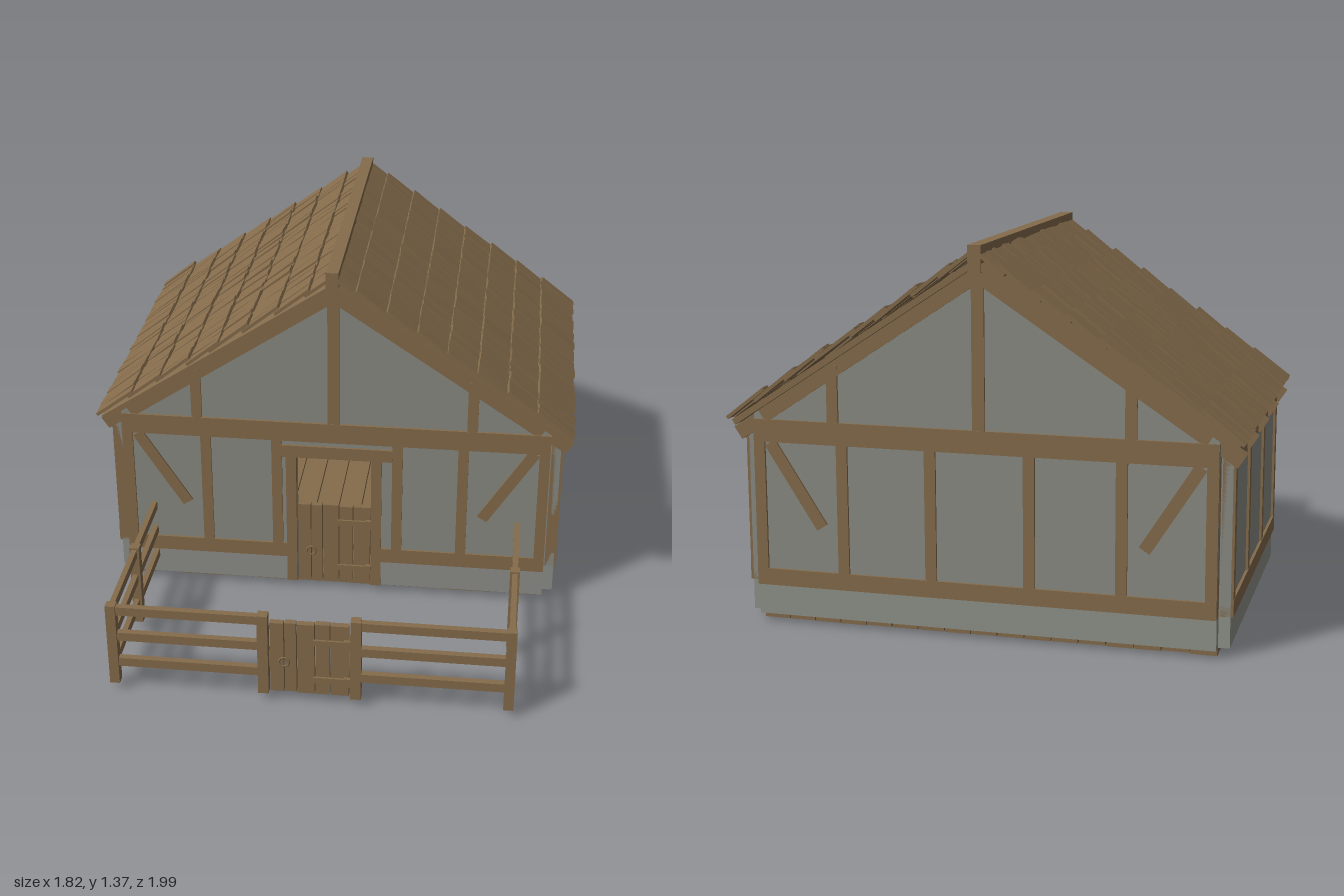
import * as THREE from 'three';
import { mergeGeometries } from 'three/addons/utils/BufferGeometryUtils.js';

const wood = new THREE.MeshStandardMaterial({ color: 0x856c4c });
wood.name = 'brown wood';
const plaster = new THREE.MeshStandardMaterial({ color: 0x8c8c84 });
plaster.name = 'grey plaster';
const stone = new THREE.MeshStandardMaterial({ color: 0x90928b });
stone.name = 'grey stone';

// Small seeded random generator
let seed = 7;
const rand = () => (seed = (seed * 16807) % 2147483647) / 2147483647;

// Box geometry and mesh given by their limits on each axis
function boxGeo(x0, x1, y0, y1, z0, z1) {
  return new THREE.BoxGeometry(x1 - x0, y1 - y0, z1 - z0)
    .translate((x0 + x1) / 2, (y0 + y1) / 2, (z0 + z1) / 2);
}
function add(parent, name, geo, mat) {
  const mesh = new THREE.Mesh(geo, mat);
  mesh.name = name;
  parent.add(mesh);
  return mesh;
}
const box = (parent, name, mat, ...limits) => add(parent, name, boxGeo(...limits), mat);

// Main dimensions: wall core, wall faces and roof slope
const X = 0.82, ZF = 0.2, ZB = -0.92, T = 0.04;
const PITCH = 0.584, RIDGE = 1.345, SLOPE = Math.tan(PITCH), LEN = 1.085;
const gableY = (x) => 1.3 - SLOPE * Math.abs(x);

function gableWall(hasDoor) {
  const s = new THREE.Shape();
  if (hasDoor) {
    s.moveTo(-X, 0.14).lineTo(-0.145, 0.14).lineTo(-0.145, 0.59).lineTo(0.145, 0.59)
      .lineTo(0.145, 0.14).lineTo(X, 0.14);
  } else s.moveTo(-X, 0.14).lineTo(X, 0.14);
  s.lineTo(X, gableY(X)).lineTo(0, gableY(0)).lineTo(-X, gableY(X)).closePath();
  return new THREE.ExtrudeGeometry(s, { depth: T, bevelEnabled: false });
}

// Timber frame of one gable end, built around z = 0 and facing +z
function gableFrame(hasDoor) {
  const g = new THREE.Group();
  const d0 = 0.005, d1 = 0.05;
  box(g, 'tieBeam', wood, -X, X, 0.66, 0.74, d0, d1);
  box(g, 'kingPost', wood, -0.022, 0.022, 0.74, 1.29, d0, d1 - 0.002);
  if (!hasDoor) box(g, 'sillBeam', wood, -X, X, 0.14, 0.2, d0, d1);
  for (const s of [-1, 1]) {
    const post = (name, x, w, y0, y1) =>
      box(g, name, wood, s * x - w / 2, s * x + w / 2, y0, y1, d0, d1 - 0.001);
    post('cornerPost', 0.8, 0.04, 0.2, 0.66);
    post('wallPost', 0.495, 0.04, 0.2, 0.66);
    post('gablePost', 0.525, 0.04, 0.74, gableY(0.525) - 0.01);
    if (hasDoor) {
      post('doorSidePost', s > 0 ? 0.245 : 0.22, 0.04, 0.2, 0.66);
      post('doorJamb', 0.165, 0.04, 0.03, 0.59);
      post('sillBeam', 0.5025, 0.635, 0.14, 0.2);
    } else post('middlePost', 0.175, 0.04, 0.2, 0.66);
    // Diagonal brace
    const brace = box(g, 'brace', wood, -0.022, 0.022, -0.175, 0.175, 0.01, d1 - 0.003);
    brace.position.set(s * 0.667, 0.51, 0);
    brace.rotation.z = -s * 0.565;
    // Timber under the verge
    const verge = box(g, 'vergeTimber', wood, 0.0, 0.985, -0.088, -0.036, d0, d1 - 0.004);
    verge.position.y = RIDGE;
    verge.rotation.z = s > 0 ? -PITCH : Math.PI + PITCH;
    if (s < 0) verge.geometry.scale(1, -1, -1).translate(0, 0, d0 + d1 - 0.004),
    verge.geometry = flipSafe(verge.geometry);
  }
  if (hasDoor) box(g, 'doorLintel', wood, -0.2, 0.225, 0.59, 0.64, d0, d1);
  return g;
}
// Two negative scales make a rotation, so only the normals need refreshing
function flipSafe(geo) {
  geo.computeVertexNormals();
  return geo;
}

// Plank door with ledges, ring handle and strap hinges, facing +z
function plankDoor(top) {
  const g = new THREE.Group();
  const edges = [-0.143, -0.09, -0.045, 0.02, 0.075, 0.143];
  for (let i = 0; i < 5; i++) {
    box(g, 'doorPlank', wood, edges[i] + 0.002, edges[i + 1] - 0.002,
      0.035 + rand() * 0.006, top - rand() * 0.006, -0.012, 0.012);
  }
  for (const y of [0.1, top - 0.075]) {
    box(g, 'doorLedge', wood, -0.135, 0.135, y - 0.02, y + 0.02, -0.028, -0.012);
    box(g, 'strapHinge', wood, 0.015, 0.143, y - 0.012, y + 0.012, 0.012, 0.02);
    box(g, 'hingePin', wood, 0.125, 0.147, y - 0.018, y + 0.018, 0.012, 0.026);
  }
  const ring = add(g, 'ringHandle', new THREE.TorusGeometry(0.018, 0.004, 6, 16), wood);
  ring.position.set(-0.09, 0.17, 0.017);
  return g;
}

// One roof slope running down towards +x
function roofSlope() {
  const g = new THREE.Group();
  box(g, 'roofDeck', wood, 0, LEN - 0.01, -0.0375, -0.016, -0.995, 0.275);
  for (const z of [0.205, -0.077, -0.36, -0.64, -0.92]) {
    box(g, 'rafter', wood, 0.03, LEN + 0.025, -0.09, -0.037, z - 0.02, z + 0.02);
  }
  // Overlapping rows of uneven shingles
  const parts = [], rows = 8, step = LEN / rows;
  for (let r = 0; r < rows; r++) {
    let z = -1;
    while (z < 0.279) {
      let w = 0.022 + rand() * 0.04;
      if (z + w > 0.255) w = 0.28 - z;
      const end = r === rows - 1 ? 0.002 + rand() * 0.008 : rand() * 0.035 - 0.01;
      const len = step + 0.035 + end - (r === 0 ? 0.035 : 0);
      const geo = boxGeo(-len, 0, -0.012, 0, z + 0.001, z + w - 0.001);
      geo.rotateZ(-0.055 - rand() * 0.04);
      geo.translate((r + 1) * step + end - 0.006, 0.0 + rand() * 0.006, 0);
      parts.push(geo);
      z += w;
    }
  }
  add(g, 'shingles', mergeGeometries(parts), wood);
  return g;
}

export function createModel() {
  const model = new THREE.Group();
  model.name = 'timberFramedBarn';

  // Floor boards
  const n = 17, bw = (2 * X) / n;
  for (let i = 0; i < n; i++) {
    box(model, 'floorBoard', wood, -X + i * bw + 0.002, -X + (i + 1) * bw - 0.002,
      rand() * 0.004, 0.03, ZB, ZF);
  }

  // Gable ends with stone footing
  const front = add(model, 'frontWall', gableWall(true), plaster);
  front.position.z = ZF;
  const back = add(model, 'backWall', gableWall(false), plaster);
  back.position.z = ZB - T;
  box(model, 'backFooting', stone, -X, X, 0.03, 0.14, ZB - T, ZB);
  const frontFrame = gableFrame(true);
  frontFrame.name = 'frontTimberFrame';
  frontFrame.position.z = ZF;
  const backFrame = gableFrame(false);
  backFrame.name = 'backTimberFrame';
  backFrame.position.z = ZB;
  backFrame.rotation.y = Math.PI;
  model.add(frontFrame, backFrame);

  for (const s of [-1, 1]) {
    const mirrored = (name, mat, x0, x1, ...rest) =>
      box(model, name, mat, Math.min(s * x0, s * x1), Math.max(s * x0, s * x1), ...rest);
    // Side walls and their timbers
    mirrored('frontFooting', stone, 0.145, X, 0.03, 0.14, ZF, ZF + T);
    mirrored('sideFooting', stone, X, X + T, 0.03, 0.14, ZB, ZF);
    mirrored('sideWall', plaster, X, X + T, 0.14, 0.725, ZB, ZF);
    mirrored('sideSill', wood, X + 0.005, 0.87, 0.14, 0.2, ZB, ZF);
    mirrored('wallPlate', wood, X + 0.005, 0.87, 0.66, 0.72, ZB, ZF);
    for (const z of [0.18, -0.175, -0.55, -0.9]) {
      mirrored('sidePost', wood, X + 0.005, 0.869, 0.2, 0.66, z - 0.02, z + 0.02);
    }
    // Paddock fence
    for (const z of [0.972, 0.585]) {
      mirrored('fencePost', wood, 0.692, 0.728, 0.03, 0.36, z - 0.018, z + 0.018);
    }
    mirrored('gatePost', wood, 0.147, 0.185, 0.03, 0.36, 0.953, 0.99);
    for (const y of [0.118, 0.228, 0.336]) {
      mirrored('sideRail', wood, 0.7, 0.72, y - 0.017, y + 0.017, ZF + T, 0.96);
      mirrored('frontRail', wood, 0.18, 0.7, y - 0.017, y + 0.017, 0.958, 0.982);
    }
  }

  // Half door and paddock gate
  const door = plankDoor(0.38);
  door.name = 'halfDoor';
  door.position.z = 0.225;
  const gate = plankDoor(0.335);
  gate.name = 'paddockGate';
  gate.position.z = 0.968;
  model.add(door, gate);

  // Roof: two slopes and a ridge beam
  for (const s of [1, -1]) {
    const pivot = new THREE.Group();
    pivot.name = s > 0 ? 'leftRoof' : 'rightRoof';
    const slope = roofSlope();
    slope.position.y = RIDGE;
    slope.rotation.z = -PITCH;
    pivot.add(slope);
    if (s < 0) {
      pivot.rotation.y = Math.PI;
      pivot.position.z = -0.72;
    }
    model.add(pivot);
  }
  box(model, 'ridgeBeam', wood, -0.023, 0.023, 1.28, 1.372, -1, 0.28);
  return model;
}
